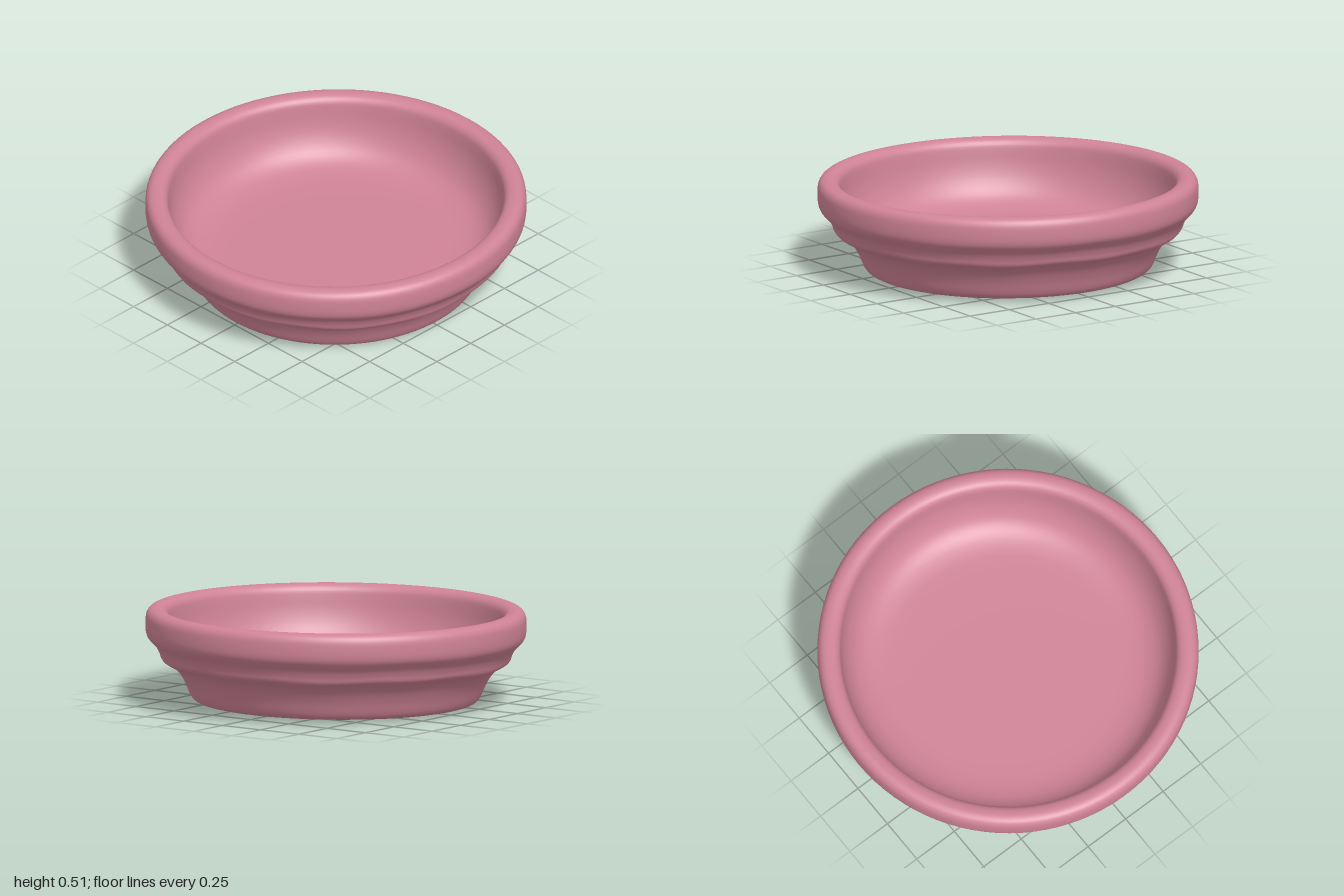
import * as THREE from 'three';
import { mergeVertices } from 'three/addons/utils/BufferGeometryUtils.js';

// Radius / height profile: recessed underside, foot, stepped outer wall, rim, inner wall, floor
const PROFILE = [
  [0, 0.072], [0.3, 0.072], [0.5, 0.07], [0.56, 0.06], [0.61, 0.038], [0.65, 0.018],
  [0.69, 0.01], [0.725, 0.011], [0.75, 0.024], [0.768, 0.053], [0.79, 0.105],
  [0.822, 0.16], [0.86, 0.197], [0.912, 0.226], [0.926, 0.26], [0.944, 0.295],
  [0.97, 0.322], [0.99, 0.347], [0.999, 0.38], [1.0, 0.43], [0.995, 0.465],
  [0.977, 0.489], [0.945, 0.498], [0.908, 0.491], [0.886, 0.468], [0.878, 0.43],
  [0.868, 0.36], [0.845, 0.285], [0.805, 0.218], [0.75, 0.175], [0.68, 0.153],
  [0.58, 0.145], [0.3, 0.143], [0, 0.143],
];

export function createModel() {
  const group = new THREE.Group();
  const clay = new THREE.MeshStandardMaterial({ color: 0xcf8396 });
  clay.name = 'rose clay';

  const curve = new THREE.SplineCurve(PROFILE.map(([r, y]) => new THREE.Vector2(r, y)));
  const points = curve.getPoints((PROFILE.length - 1) * 3);
  points.forEach((p) => { p.x = Math.max(0, p.x); });
  let geometry = new THREE.LatheGeometry(points, 96);

  // Slight hand-thrown waviness on the outer steps
  const pos = geometry.attributes.position;
  for (let i = 0; i < pos.count; i++) {
    const x = pos.getX(i), y = pos.getY(i), z = pos.getZ(i);
    const a = Math.atan2(z, x);
    const outside = Math.hypot(x, z) > 0.79 + 0.35 * Math.max(0, y - 0.1);
    const fade = outside ? Math.max(0, 1 - Math.abs(y - 0.24) / 0.12) : 0;
    pos.setY(i, y + 0.003 * fade * (Math.sin(a * 5 + 1) + Math.sin(a * 11 + y * 20)));
  }

  // Weld the seam so shading stays smooth all round
  geometry.deleteAttribute('uv');
  geometry.deleteAttribute('normal');
  geometry = mergeVertices(geometry, 1e-5);
  geometry.computeVertexNormals();

  const bowl = new THREE.Mesh(geometry, clay);
  bowl.name = 'bowl';
  bowl.rotation.z = 0.0135; // the bowl sits slightly uneven
  bowl.position.x = 0.006;
  group.add(bowl);
  return group;
}
